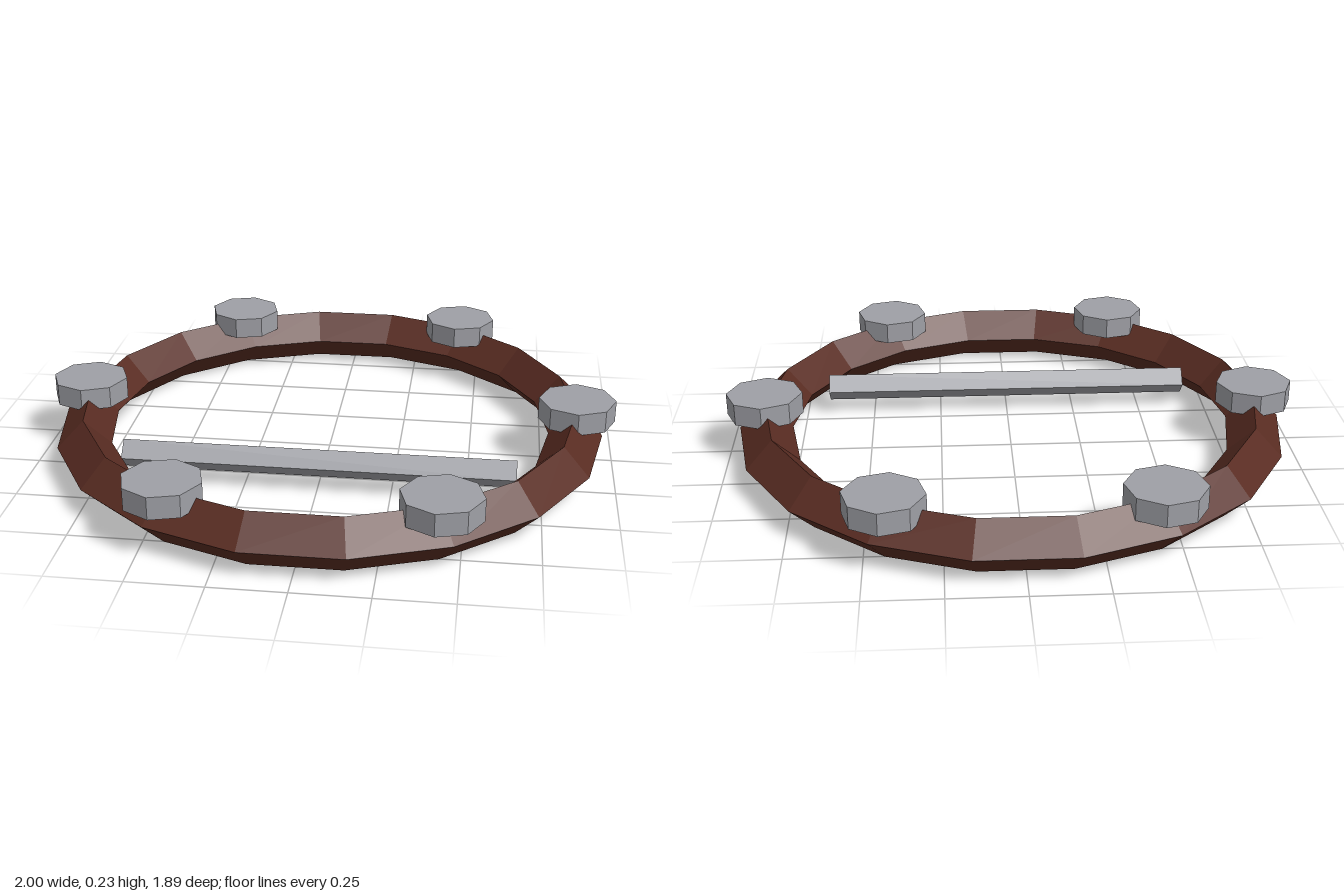
import * as THREE from 'three';

const RING_RADIUS = 0.867;
const RING_Y = 0.0935;

// Split the faces apart so every facet shades flat
function faceted(geometry) {
  const flat = geometry.toNonIndexed();
  flat.computeVertexNormals();
  return flat;
}

function addPart(parent, name, geometry, material) {
  const mesh = new THREE.Mesh(faceted(geometry), material);
  mesh.name = name;
  parent.add(mesh);
  return mesh;
}

export function createModel() {
  const group = new THREE.Group();
  group.name = 'studdedRing';

  const leather = new THREE.MeshStandardMaterial({ color: 0x592c22 });
  leather.name = 'dark brown';
  const metal = new THREE.MeshStandardMaterial({ color: 0x9fa0a6 });
  metal.name = 'grey metal';

  // Ring with a diamond cross-section
  const ring = new THREE.TorusGeometry(RING_RADIUS, 0.0935, 4, 18).rotateX(Math.PI / 2);
  addPart(group, 'ring', ring, leather).position.y = RING_Y;

  // Six octagonal studs set into the top of the ring
  for (let i = 0; i < 6; i++) {
    const angle = (i / 6) * Math.PI * 2 - 0.005;
    const stud = addPart(group, `stud${i + 1}`, new THREE.CylinderGeometry(0.133, 0.133, 0.077, 8), metal);
    stud.position.set(Math.cos(angle) * RING_RADIUS, 0.1885, Math.sin(angle) * RING_RADIUS);
    stud.rotation.y = i % 3 === 0 ? 0 : -0.12;
  }

  // Four-sided bar, standing on its edge, across the front of the opening
  const bar = new THREE.CylinderGeometry(0.05, 0.05, 1.33, 4).rotateZ(Math.PI / 2);
  addPart(group, 'crossBar', bar, metal).position.set(0, RING_Y, 0.33);

  return group;
}
